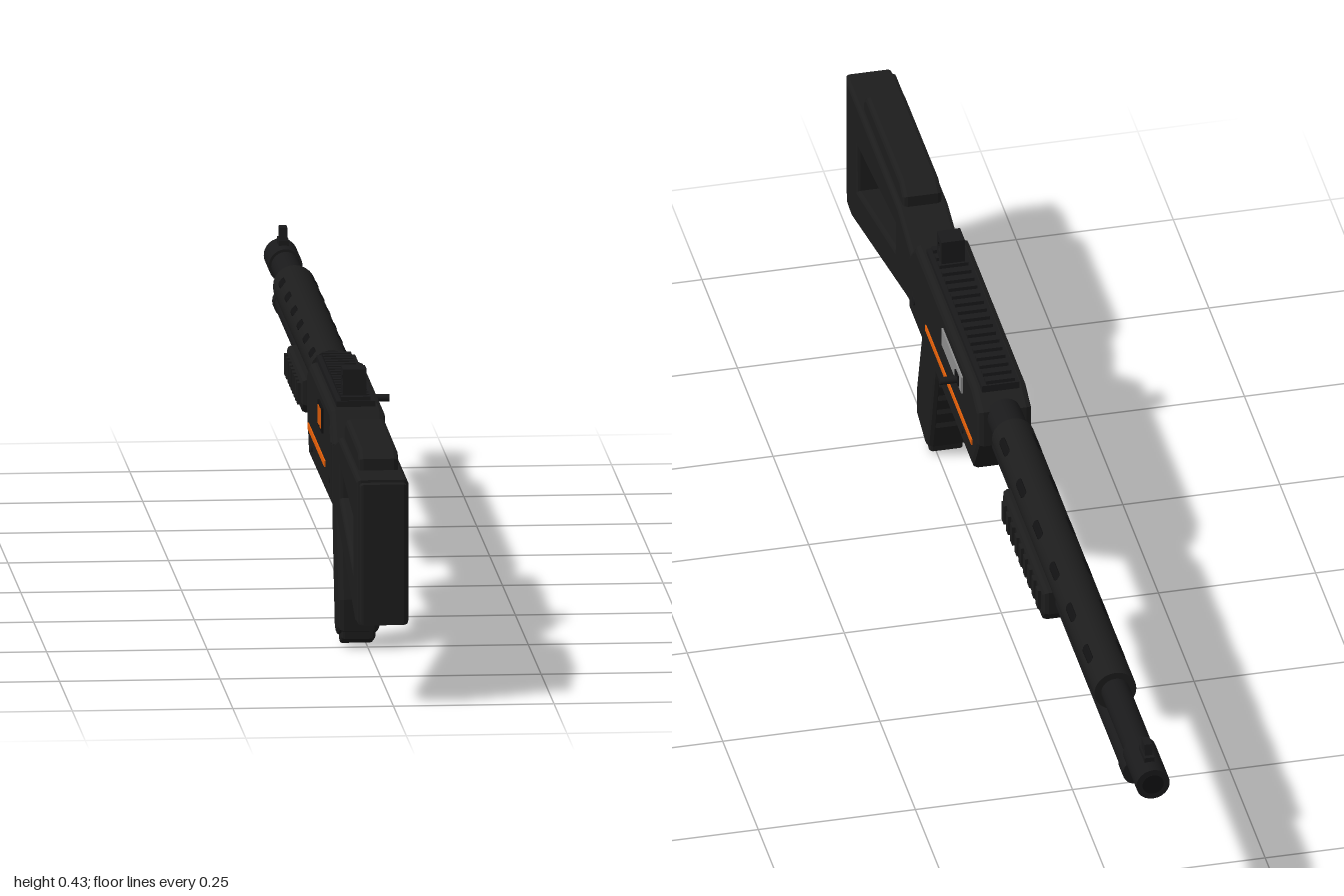
import * as THREE from 'three';

const CX = -0.015; // centre line of the body
const mat = (name, color) => Object.assign(new THREE.MeshStandardMaterial({ color }), { name });

export function createModel() {
  const model = new THREE.Group();
  model.name = 'shotgun';
  const polymer = mat('polymer black', 0x1d1d1d);
  const metal = mat('gunmetal black', 0x1a1a1b);
  const dark = mat('recess black', 0x111112);
  const steel = mat('bolt steel', 0x8c8c8c);
  const orange = mat('accent orange', 0xec6208);

  const add = (name, geometry, material, x = 0, y = 0, z = 0) => {
    const mesh = new THREE.Mesh(geometry, material);
    mesh.name = name;
    mesh.position.set(x, y, z);
    model.add(mesh);
    return mesh;
  };
  const box = (name, m, w, h, d, x, y, z) => add(name, new THREE.BoxGeometry(w, h, d), m, x, y, z);
  const rod = (name, m, r, z0, z1, y) =>
    add(name, new THREE.CylinderGeometry(r, r, Math.abs(z1 - z0), 24).rotateX(Math.PI / 2), m, CX, y, (z0 + z1) / 2);

  // side profile given as clockwise [z, y] points, extruded across the width with a bevel
  const outline = (pts) => pts.map(([z, y]) => new THREE.Vector2(-z, y));
  const profile = (name, m, pts, width, bevel = 0, holes = []) => {
    let points = outline(pts);
    if (!THREE.ShapeUtils.isClockWise(points)) points = points.reverse();
    const shape = new THREE.Shape(points);
    // holes wind the other way so that their walls face inwards
    holes.forEach((h) => shape.holes.push(new THREE.Path(outline(h).reverse())));
    const depth = width - 2 * bevel;
    const geometry = new THREE.ExtrudeGeometry(shape, {
      depth, bevelEnabled: bevel > 0, bevelSize: bevel, bevelThickness: bevel,
      bevelOffset: -bevel, bevelSegments: 2,
    });
    geometry.translate(0, 0, -depth / 2).rotateY(Math.PI / 2);
    return add(name, geometry, m, CX);
  };

  // stock
  profile('stock', polymer, [
    [0.982, 0.354], [0.62, 0.354], [0.515, 0.325], [0.515, 0.235], [0.56, 0.226], [0.945, 0.121], [0.982, 0.125],
  ], 0.08, 0.006, [[[0.905, 0.278], [0.635, 0.312], [0.638, 0.262], [0.905, 0.195]]]);
  profile('buttPad', polymer, [[1, 0.35], [0.97, 0.35], [0.97, 0.128], [1, 0.128]], 0.073, 0.005);
  profile('cheekRest', polymer, [
    [0.9, 0.345], [0.9, 0.372], [0.882, 0.385], [0.645, 0.387], [0.618, 0.372], [0.618, 0.345],
  ], 0.062, 0.007);

  // receiver
  profile('receiver', polymer, [
    [0.528, 0.225], [0.528, 0.327], [0.485, 0.372], [0.085, 0.372], [0.04, 0.352], [0.038, 0.29], [0.08, 0.223],
  ], 0.086, 0.009);
  profile('rearCollar', polymer, [[0.52, 0.235], [0.52, 0.328], [0.495, 0.352], [0.495, 0.235]], 0.089, 0.004);
  for (const [z, y] of [[0.49, 0.265], [0.15, 0.25]]) {
    add('receiverPin', new THREE.CylinderGeometry(0.007, 0.007, 0.09, 12).rotateZ(Math.PI / 2), metal, CX, y, z);
  }

  // top rail with teeth
  box('railBase', metal, 0.06, 0.012, 0.39, CX, 0.375, 0.265);
  for (let i = 0; i < 18; i++) box('railTooth', metal, 0.046, 0.007, 0.012, CX, 0.3835, 0.45 - i * 0.0218);

  // ejection port and charging handle
  const side = 0.0285;
  box('bolt', steel, 0.005, 0.03, 0.14, side, 0.335, 0.215);
  box('handleSlot', dark, 0.009, 0.018, 0.022, side, 0.333, 0.171);
  const handle = new THREE.CylinderGeometry(0.006, 0.006, 0.036, 12).rotateZ(Math.PI / 2);
  add('chargingHandle', handle, metal, 0.042, 0.331, 0.17);

  // orange trim on both sides, shell counter on the right
  for (const s of [-1, 1]) box('sideStripe', orange, 0.003, 0.01, 0.325, CX + s * 0.0435, 0.272, 0.242);
  box('counterPanel', dark, 0.004, 0.04, 0.08, CX - 0.044, 0.333, 0.328);
  for (const [z, d] of [[0.312, 0.02], [0.344, 0.017]]) {
    box('counterBar', orange, 0.002, 0.03, d, CX - 0.046, 0.333, z);
  }
  box('loadingGate', orange, 0.037, 0.012, 0.115, CX, 0.219, 0.232);

  // pistol grip with finger ridges
  profile('grip', polymer, [
    [0.485, 0.235], [0.39, 0.235], [0.398, 0.175], [0.42, 0.09], [0.44, 0.022], [0.46, 0.012], [0.524, 0.03],
    [0.526, 0.08], [0.49, 0.2],
  ], 0.064, 0.008);
  profile('gripCap', polymer, [[0.448, 0.03], [0.45, 0.006], [0.462, 0], [0.516, 0.016], [0.518, 0.04]], 0.052, 0.004);
  for (let i = 0; i < 4; i++) {
    const ridge = box('gripRidge', polymer, 0.046, 0.012, 0.014, CX, 0.165 - i * 0.031, 0.405 + i * 0.0085);
    ridge.rotation.x = 0.26;
  }

  // trigger guard and trigger
  profile('triggerGuard', metal, [
    [0.405, 0.16], [0.405, 0.148], [0.304, 0.148], [0.28, 0.17], [0.276, 0.225], [0.287, 0.225], [0.29, 0.175],
    [0.308, 0.158],
  ], 0.03);
  profile('trigger', metal, [[0.4, 0.225], [0.38, 0.225], [0.386, 0.195], [0.373, 0.168], [0.38, 0.166], [0.397, 0.195]], 0.014);

  // rear sight with a round opening
  const ring = Array.from({ length: 14 }, (_, i) => {
    const a = (i / 14) * Math.PI * 2;
    return [0.422 + 0.008 * Math.cos(a), 0.408 + 0.008 * Math.sin(a)];
  });
  profile('rearSight', metal, [[0.438, 0.378], [0.438, 0.427], [0.404, 0.427], [0.404, 0.378]], 0.037, 0, [ring]);

  // barrel and magazine tube
  const barrelY = 0.339, tubeY = 0.288;
  rod('barrel', metal, 0.0225, 0.05, -0.95, barrelY);
  rod('barrelCollar', metal, 0.028, 0.05, -0.02, barrelY);
  rod('muzzle', metal, 0.0265, -0.905, -1, barrelY);
  rod('bore', dark, 0.017, -0.99, -1.0005, barrelY);
  rod('magazineTube', metal, 0.021, 0.06, -0.885, tubeY);
  rod('magazineCap', metal, 0.0225, -0.855, -0.887, tubeY);

  // heat shield with two rows of vents
  rod('heatShield', polymer, 0.0335, -0.015, -0.735, barrelY);
  for (const s of [-1, 1]) {
    for (let i = 0; i < 6; i++) {
      const vent = new THREE.CapsuleGeometry(0.007, 0.032, 4, 10).rotateX(Math.PI / 2).scale(1, 0.2, 1);
      const a = 0.9;
      const mesh = add('heatShieldVent', vent, dark, CX + s * 0.033 * Math.sin(a), barrelY + 0.033 * Math.cos(a), -0.07 - i * 0.117);
      mesh.rotation.z = -s * a;
    }
  }

  // front sight
  box('frontSightBase', metal, 0.016, 0.012, 0.038, CX, 0.367, -0.957);
  profile('frontSight', metal, [[-0.943, 0.365], [-0.946, 0.392], [-0.967, 0.392], [-0.97, 0.365]], 0.012);

  // pump fore-end with side ribs
  profile('foreEnd', polymer, [
    [-0.11, 0.308], [-0.405, 0.308], [-0.405, 0.268], [-0.388, 0.248], [-0.225, 0.248], [-0.205, 0.254],
    [-0.125, 0.254], [-0.11, 0.268],
  ], 0.078, 0.008);
  for (const s of [-1, 1]) {
    for (let i = 0; i < 9; i++) box('foreEndRib', polymer, 0.008, 0.034, 0.015, CX + s * 0.04, 0.283, -0.137 - i * 0.03);
  }
  return model;
}
